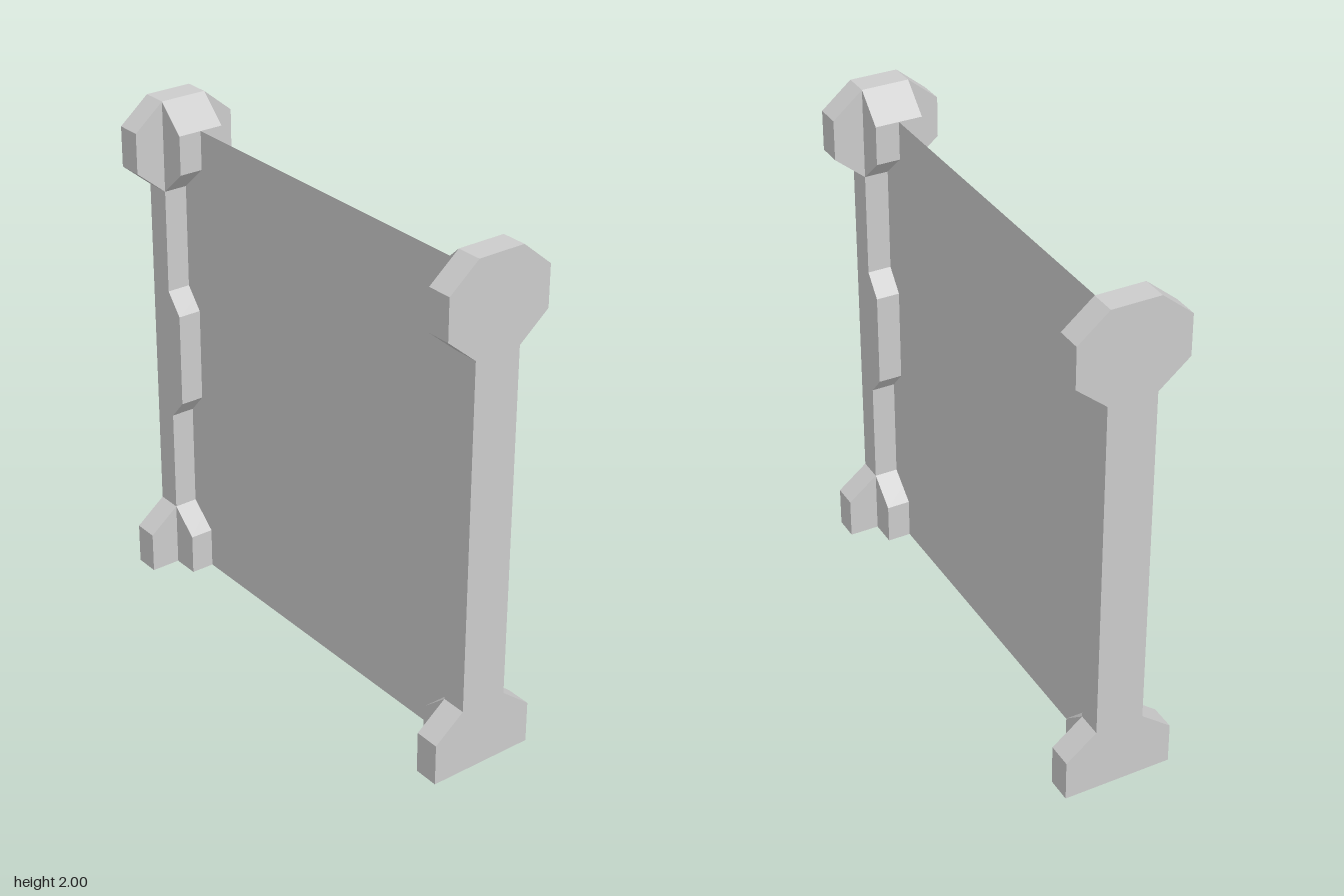
import * as THREE from 'three';

const material = new THREE.MeshStandardMaterial({ color: 0xcccccc, flatShading: true });
const panelMaterial = new THREE.MeshStandardMaterial({ color: 0xcccccc, side: THREE.DoubleSide });

const OUTER = 0.945, INNER = 0.845; // x range of the post slab
const HALF = 0.095; // half depth of the shaft

function extrude(points, depth) {
  const shape = new THREE.Shape(points.map(([x, y]) => new THREE.Vector2(x, y)));
  return new THREE.ExtrudeGeometry(shape, { depth, bevelEnabled: false });
}

function createPost() {
  const post = new THREE.Group();
  const add = (name, geometry) => {
    const mesh = new THREE.Mesh(geometry, material);
    mesh.name = name;
    post.add(mesh);
  };

  // Upright slab with splayed foot and octagonal head, profiled in depth and height
  const side = [[0.215, 0], [0.215, 0.165], [HALF, 0.26], [HALF, 1.64],
    [0.215, 1.74], [0.215, 1.9], [HALF, 2]];
  const outline = [...side, ...side.map(([z, y]) => [-z, y]).reverse()];
  add('upright', extrude(outline, OUTER - INNER).rotateY(Math.PI / 2).translate(INNER, 0, 0));

  // Lugs facing the panel, profiled in width and height
  const lugs = {
    footLug: [[INNER, 0], [INNER, 0.26], [0.735, 0.165], [0.735, 0]],
    middleLug: [[INNER, 0.68], [INNER, 1.225], [0.775, 1.14], [0.775, 0.76]],
    headLug: [[INNER, 1.64], [INNER, 2], [0.735, 1.895], [0.735, 1.74]],
  };
  for (const [name, points] of Object.entries(lugs)) {
    add(name, extrude(points, HALF * 2).translate(0, 0, -HALF));
  }
  return post;
}

export function createModel() {
  const model = new THREE.Group();
  model.name = 'panelBetweenPosts';

  // The post is symmetric front to back, so a half turn mirrors it
  for (const [name, turn] of [['leftPost', 0], ['rightPost', Math.PI]]) {
    const post = createPost();
    post.name = name;
    post.rotation.y = turn;
    model.add(post);
  }

  // Thin sheet spanning the posts
  const height = 1.895;
  const panel = new THREE.Mesh(new THREE.PlaneGeometry(INNER * 2, height), panelMaterial);
  panel.name = 'panel';
  panel.position.y = height / 2;
  model.add(panel);

  return model;
}
